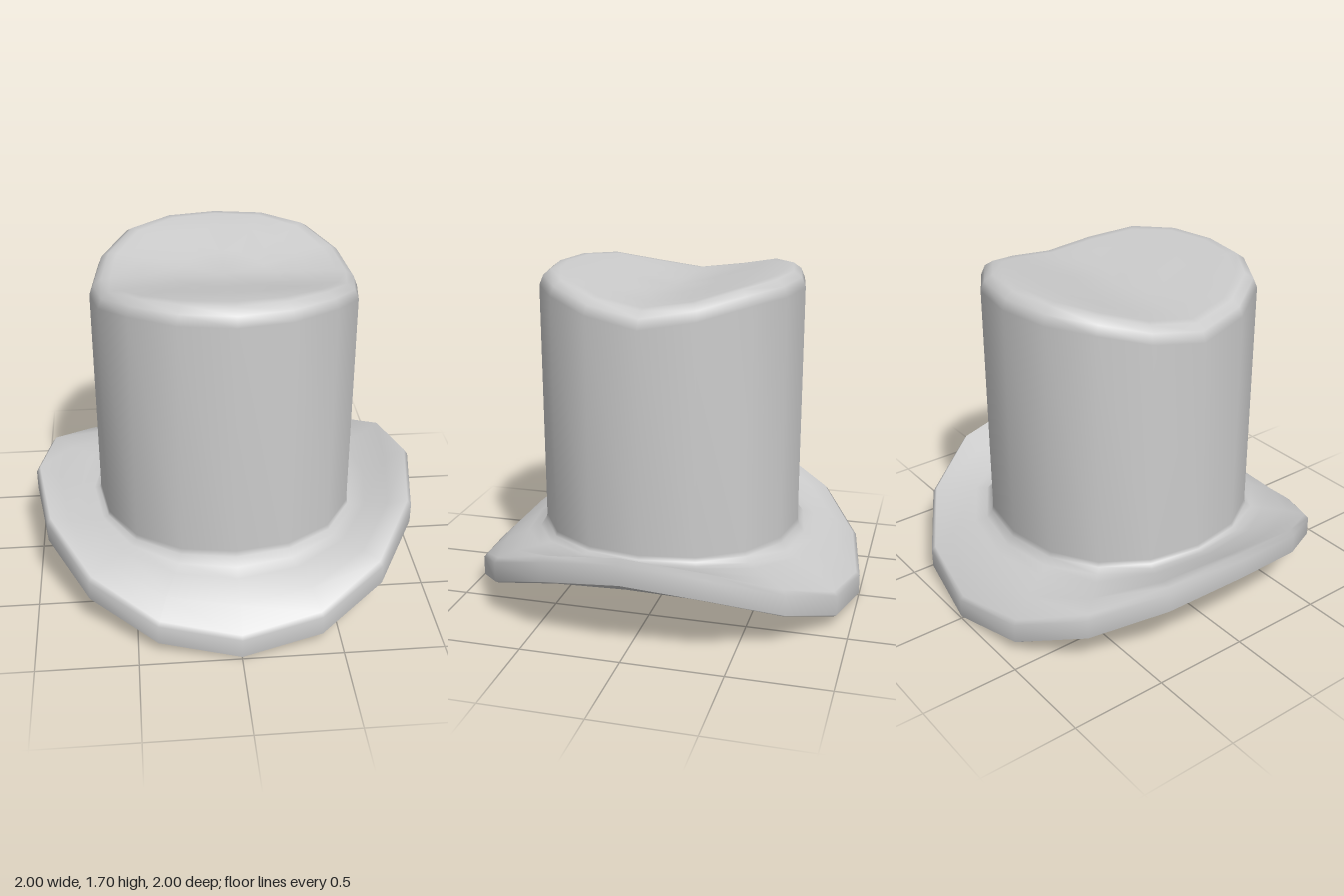
import * as THREE from 'three';

const SIDES = 16;

// Height of the dented crown top: low along the middle, high at front and back
const dent = (z) => 1.592 + 0.108 * Math.sin((Math.PI / 2) * Math.min(1, Math.abs(z) / 0.6)) ** 2;
const top = (r, drop) => ({ r, y: (a, z) => dent(z) - drop });
// Ring whose height swings between the front/back (low) and the sides (high),
// with an optional extra rise at the sides only
const ring = (r, y, swing = 0, rise = 0) => ({
  r,
  y: (a) => y - swing * Math.cos(2 * a) + rise * Math.max(0, -Math.cos(2 * a)),
});

// Cross-section from the crown centre, down the outside and under the brim to the opening
const crownOuter = [
  top(0, 0), top(0.22, 0), top(0.42, 0), top(0.56, 0), top(0.605, 0.005),
  top(0.645, 0.035), top(0.665, 0.085), ring(0.665, 0.4),
];
const brim = [
  ring(0.672, 0.375, 0.005), ring(0.7, 0.352, 0.025), ring(0.76, 0.35, 0.05), ring(0.88, 0.345, 0.11),
  ring(0.98, 0.328, 0.195), ring(1, 0.305, 0.19), ring(1, 0.205, 0.19), ring(0.985, 0.195, 0.192),
  ring(0.88, 0.195, 0.125), ring(0.74, 0.185, 0.012, 0.088),
];
// Flare above the opening and the inside of the crown
const lining = [
  ring(0.74, 0.185, 0.012), ring(0.615, 0.345), ring(0.602, 0.39), ring(0.6, 1.42),
  top(0.56, 0.1), top(0.42, 0.095), top(0.22, 0.095), top(0, 0.095),
];

// One smooth surface through a list of rings
function buildSurface(rings) {
  const positions = [];
  for (const { r, y } of rings) {
    for (let j = 0; j < SIDES; j++) {
      const step = (j / SIDES) * Math.PI * 2;
      const a = step + 0.014 * Math.sin(4 * step);
      const radius = r * (1 + 0.03 * Math.sin(2 * a) ** 2);
      const z = radius * Math.cos(a);
      positions.push(radius * Math.sin(a), y(a, z), z);
    }
  }
  const geometry = new THREE.BufferGeometry();
  geometry.setAttribute('position', new THREE.Float32BufferAttribute(positions, 3));
  geometry.setIndex(bandIndices(rings, 0, rings.length - 1));
  geometry.computeVertexNormals();
  // Points at a closed centre share a vertical normal
  const normal = geometry.attributes.normal;
  rings.forEach(({ r }, i) => {
    if (r > 0) return;
    for (let j = 0; j < SIDES; j++) normal.setXYZ(i * SIDES + j, 0, i === 0 ? 1 : -1, 0);
  });
  return geometry;
}

// Triangles between ring numbers from and to
function bandIndices(rings, from, to) {
  const indices = [];
  for (let i = from; i < to; i++) {
    for (let j = 0; j < SIDES; j++) {
      const k = (j + 1) % SIDES;
      const a = i * SIDES + j, b = a + SIDES;
      const c = (i + 1) * SIDES + k, d = i * SIDES + k;
      if (rings[i + 1].r > 0) indices.push(a, b, c);
      if (rings[i].r > 0) indices.push(a, c, d);
    }
  }
  return indices;
}

export function createModel() {
  const group = new THREE.Group();
  group.name = 'hat';
  const material = new THREE.MeshStandardMaterial({ color: 0xcccccc });
  const add = (name, geometry) => {
    const mesh = new THREE.Mesh(geometry, material);
    mesh.name = name;
    group.add(mesh);
  };

  // Crown and brim are split but keep their shared smooth normals
  const outside = [...crownOuter, ...brim];
  const surface = buildSurface(outside);
  const seam = crownOuter.length - 1;
  for (const [name, from, to] of [['crown', 0, seam], ['brim', seam, outside.length - 1]]) {
    const geometry = surface.clone();
    geometry.setIndex(bandIndices(outside, from, to));
    add(name, geometry);
  }

  add('crownLining', buildSurface(lining));
  return group;
}
